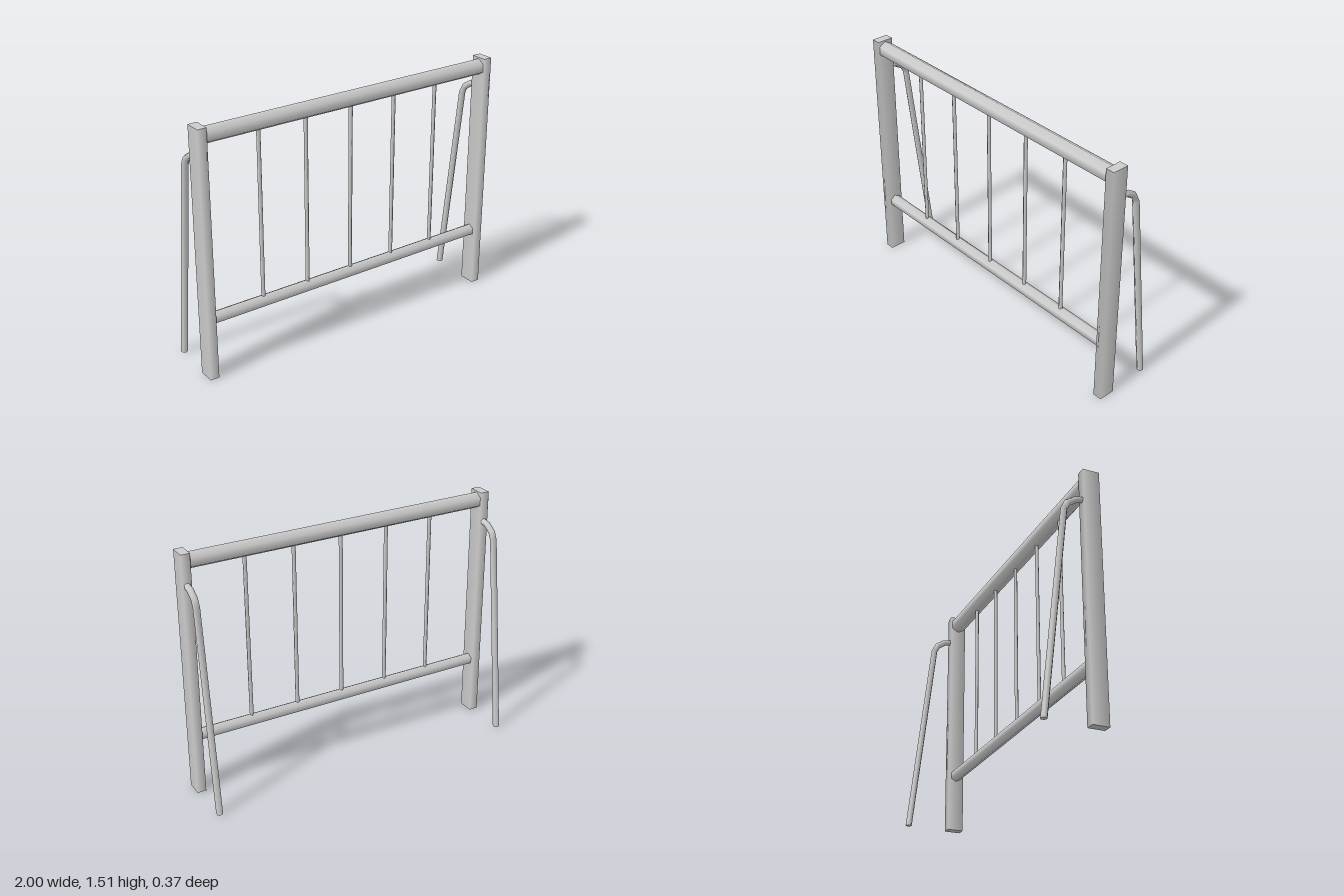
import * as THREE from 'three';

const material = new THREE.MeshStandardMaterial({ color: 0xcccccc });
const PANEL_Z = 0.14;
const HEIGHT = 1.51;

function addMesh(parent, name, geometry, x, y, z) {
  const mesh = new THREE.Mesh(geometry, material);
  mesh.name = name;
  mesh.position.set(x, y, z);
  parent.add(mesh);
  return mesh;
}

// Square post: four-sided cylinder with soft side shading and flat caps
function postGeometry(width, height, depth) {
  return new THREE.CylinderGeometry(Math.SQRT1_2, Math.SQRT1_2, 1, 4)
    .rotateY(Math.PI / 4)
    .scale(width, height, depth);
}

// Six-sided horizontal rail with a corner pointing up
function railGeometry(radius, length) {
  return new THREE.CylinderGeometry(radius, radius, length, 6)
    .rotateY(Math.PI / 6)
    .rotateZ(Math.PI / 2);
}

// Bent six-sided strut, swept down through rings of [z, y, ring tilt in degrees]
function strutGeometry(radius) {
  const stations = [
    [0.1, 1.325, 90],
    [0.052, 1.316, 65],
    [0.002, 1.284, 42],
    [-0.02, 1.24, 5],
    [-0.164, 0, 0],
  ];
  const sides = 6;
  const positions = [];
  const index = [];
  const addRing = ([z, y, tilt]) => {
    const t = THREE.MathUtils.degToRad(tilt);
    for (let j = 0; j < sides; j++) {
      const a = (j / sides) * Math.PI * 2;
      const d = Math.cos(a) * radius;
      positions.push(Math.sin(a) * radius, y + d * Math.sin(t), z - d * Math.cos(t));
    }
  };
  stations.forEach(addRing);
  for (let i = 0; i < stations.length - 1; i++) {
    for (let j = 0; j < sides; j++) {
      const a = i * sides + j;
      const b = i * sides + ((j + 1) % sides);
      index.push(a, b, a + sides, b, b + sides, a + sides);
    }
  }
  // Flat foot
  const foot = positions.length / 3;
  addRing(stations[stations.length - 1]);
  for (let j = 1; j < sides - 1; j++) index.push(foot, foot + j, foot + j + 1);

  const geometry = new THREE.BufferGeometry();
  geometry.setAttribute('position', new THREE.Float32BufferAttribute(positions, 3));
  geometry.setIndex(index);
  geometry.computeVertexNormals();
  return geometry;
}

export function createModel() {
  const model = new THREE.Group();
  model.name = 'barrier';

  // Posts and their rear struts
  const post = postGeometry(0.055, HEIGHT, 0.1);
  const strut = strutGeometry(0.02);
  for (const [side, sign] of [['left', 1], ['right', -1]]) {
    addMesh(model, `${side}Post`, post, sign * 0.9725, HEIGHT / 2, PANEL_Z);
    addMesh(model, `${side}Strut`, strut, sign * 0.9725, 0, 0);
  }

  // Rails between the posts
  addMesh(model, 'topRail', railGeometry(0.05, 1.9), 0, 1.452, PANEL_Z);
  addMesh(model, 'bottomRail', railGeometry(0.0375, 1.9), 0, 0.362, PANEL_Z);

  // Thin upright bars
  const bar = new THREE.CylinderGeometry(0.0115, 0.0115, 1.04, 6);
  for (let i = -2; i <= 2; i++) {
    addMesh(model, `bar${i + 3}`, bar, i * 0.304, 0.9, PANEL_Z);
  }

  return model;
}
